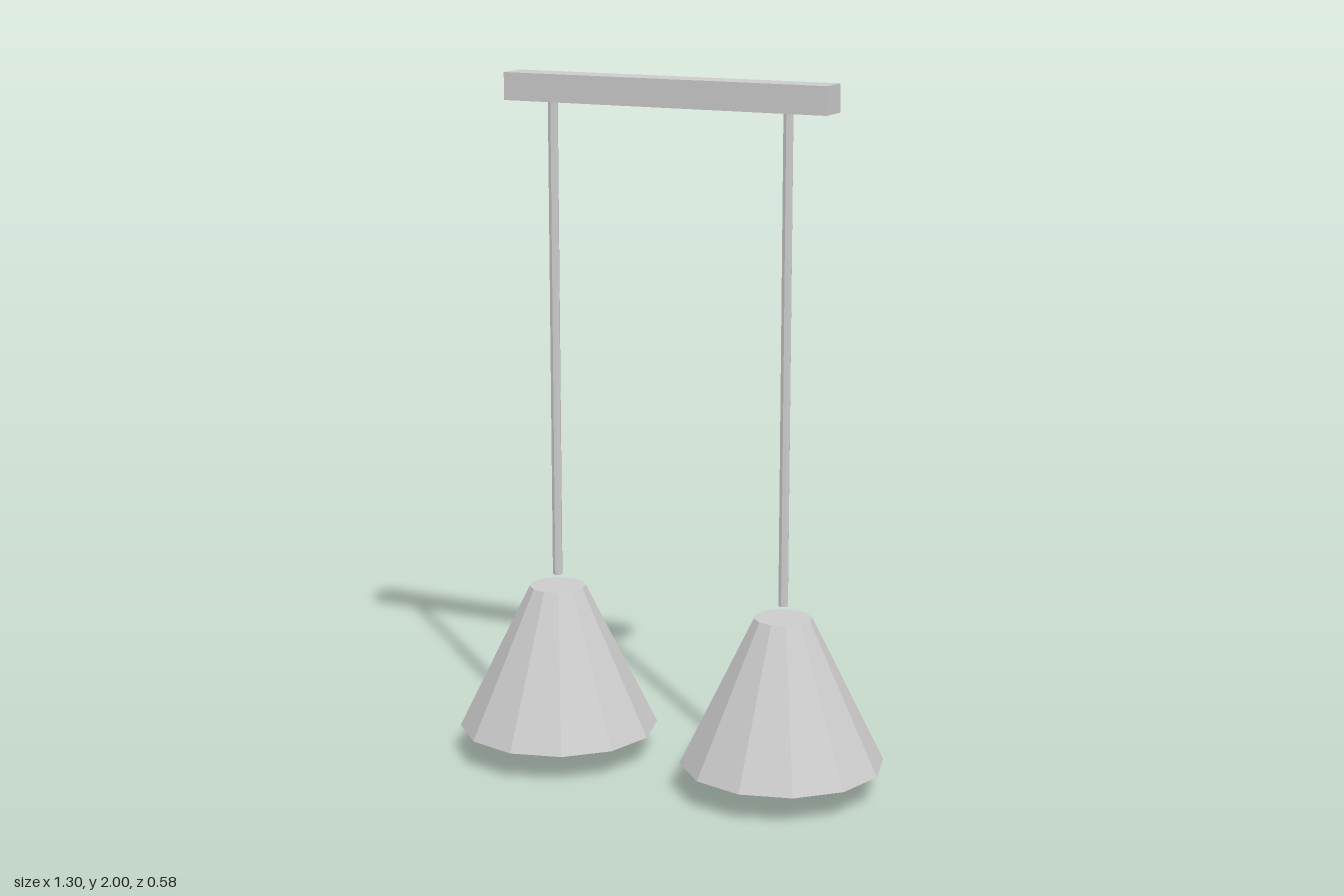
import * as THREE from 'three';

export function createModel() {
  const model = new THREE.Group();
  const material = new THREE.MeshStandardMaterial({ color: 0xcccccc, flatShading: true });

  const add = (parent, name, geometry, y) => {
    const mesh = new THREE.Mesh(geometry, material);
    mesh.name = name;
    mesh.position.y = y;
    parent.add(mesh);
  };

  // Ceiling bar
  add(model, 'ceilingBar', new THREE.BoxGeometry(0.98, 0.078, 0.094), 1.961);

  // Two matching pendants: rod, closed conical shade and bulb
  for (const [side, x] of [['left', 0.36], ['right', -0.36]]) {
    const pendant = new THREE.Group();
    pendant.name = side + 'Pendant';
    pendant.position.x = x;
    add(pendant, 'rod', new THREE.CylinderGeometry(0.0145, 0.0145, 1.377, 8), 1.2335);
    add(pendant, 'shade', new THREE.CylinderGeometry(0.082, 0.291, 0.425, 12), 0.2975);
    add(pendant, 'bulb', new THREE.SphereGeometry(0.058, 8, 6), 0.058);
    model.add(pendant);
  }
  return model;
}
